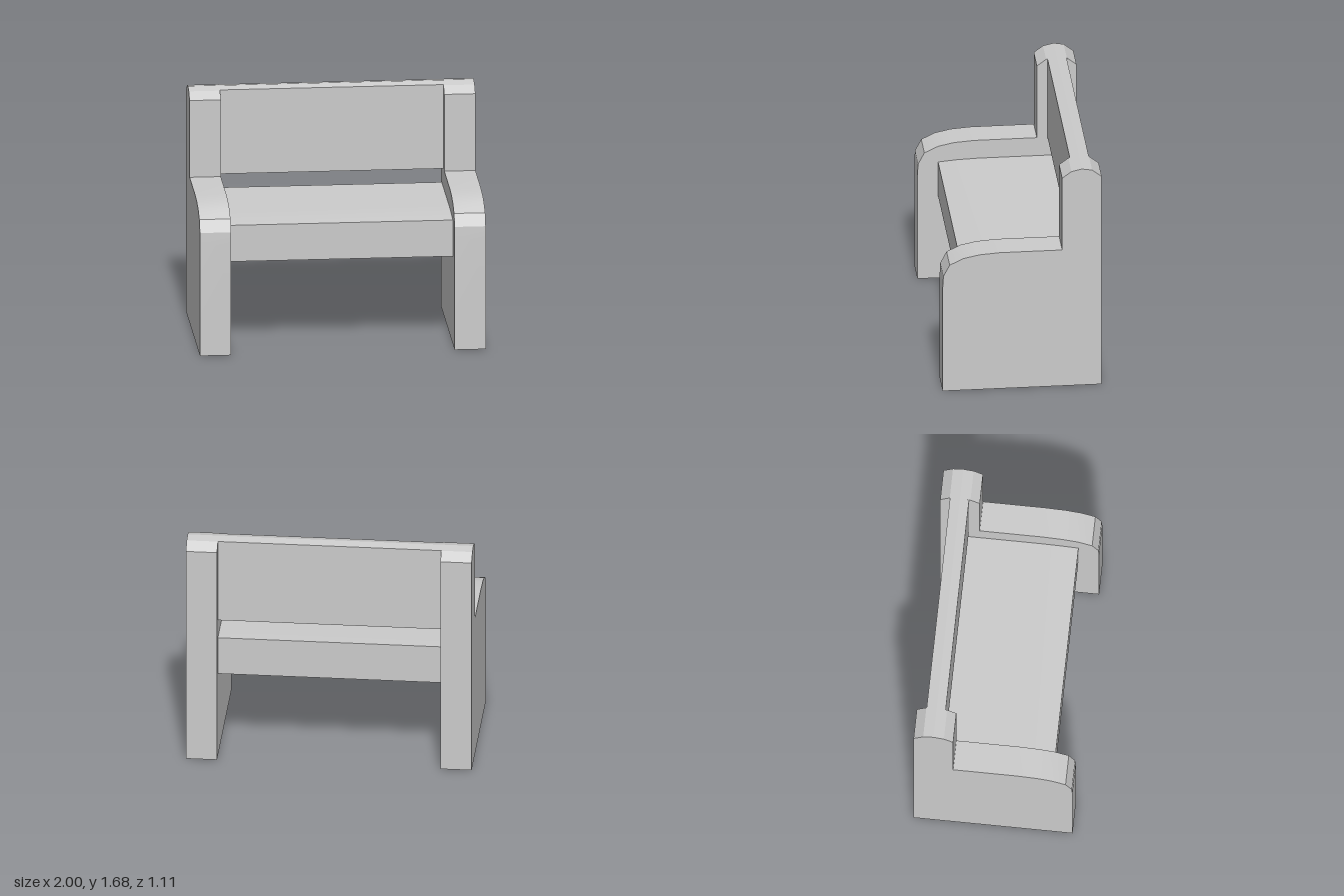
import * as THREE from 'three';
import { toCreasedNormals } from 'three/addons/utils/BufferGeometryUtils.js';

const material = new THREE.MeshStandardMaterial({ color: 0xcccccc });

// Extrudes a side profile of [z, y] points along x, centred on the given x
function profilePart(name, points, width, x = 0) {
  const shape = new THREE.Shape(points.map(([z, y]) => new THREE.Vector2(z, y)));
  const extruded = new THREE.ExtrudeGeometry(shape, { depth: width, bevelEnabled: false });
  extruded.translate(0, 0, -width / 2).rotateY(-Math.PI / 2).translate(x, 0, 0);
  const mesh = new THREE.Mesh(toCreasedNormals(extruded, 0.3), material);
  mesh.name = name;
  return mesh;
}

export function createModel() {
  const bench = new THREE.Group();
  bench.name = 'bench';

  // Side panels: leg, rounded armrest and back post in one slab
  const sideProfile = [
    [-0.557, 0], [0.557, 0], [0.557, 0.8], [0.552, 0.89], [0.508, 0.975],
    [0.41, 1.022], [0.3, 1.045], [0.16, 1.055], [-0.28, 1.055],
    [-0.28, 1.612], [-0.345, 1.66], [-0.418, 1.677], [-0.49, 1.665], [-0.557, 1.612],
  ];
  for (const [side, sign] of [['left', 1], ['right', -1]]) {
    bench.add(profilePart(`${side}SidePanel`, sideProfile, 0.218, sign * 0.891));
  }

  // Thick seat, its top easing down slightly at the front
  const innerWidth = 1.564;
  bench.add(profilePart('seat', [
    [-0.488, 0.637], [0.412, 0.637], [0.412, 0.9], [0.28, 0.911],
    [0.13, 0.916], [-0.488, 0.916],
  ], innerWidth));

  // Backrest board with a crowned top
  bench.add(profilePart('backrest', [
    [-0.488, 1.053], [-0.355, 1.053], [-0.355, 1.662], [-0.418, 1.677], [-0.488, 1.665],
  ], innerWidth));

  return bench;
}
